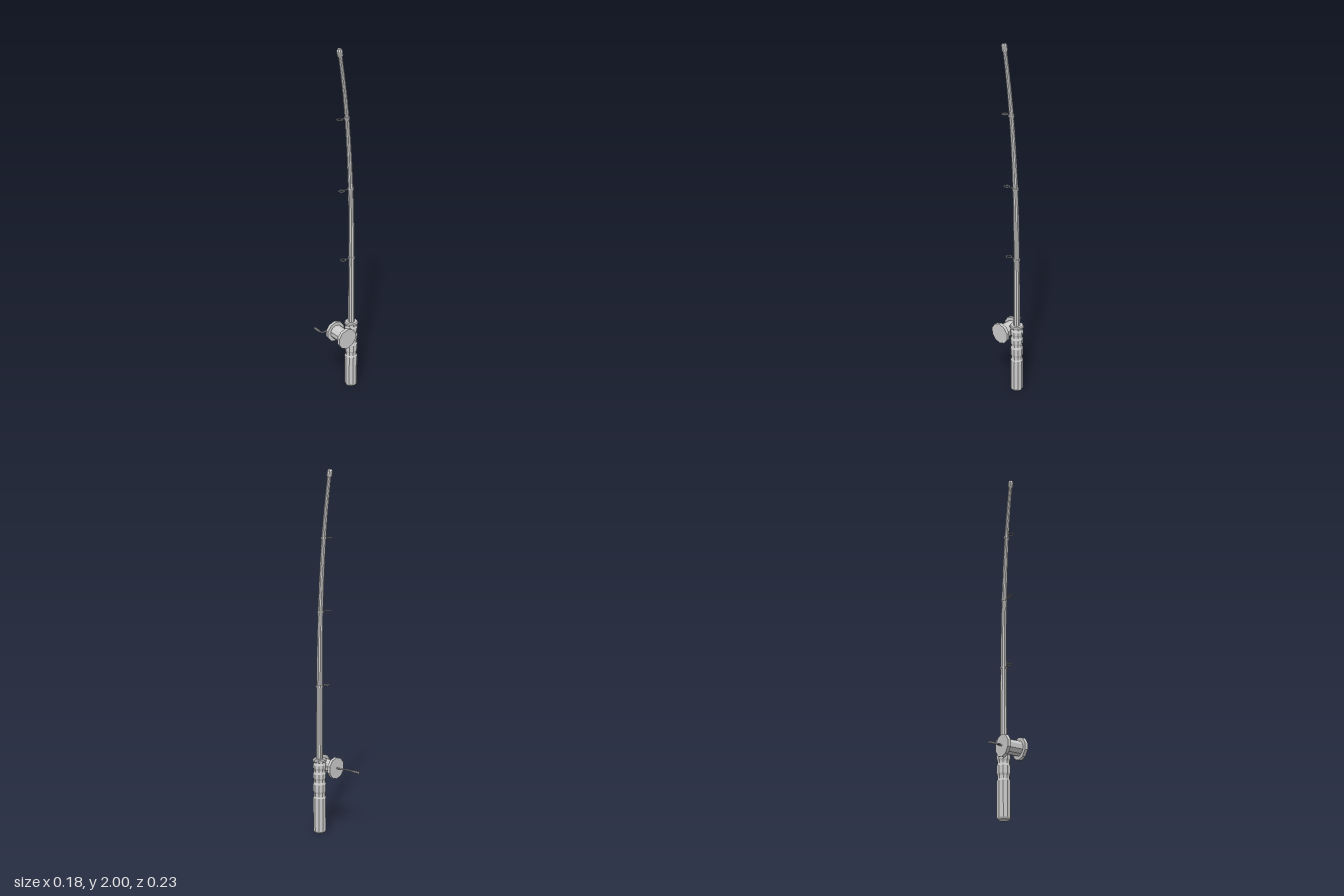
import * as THREE from 'three';

const SIDES = 10;
const material = new THREE.MeshStandardMaterial({ color: 0xcccccc, flatShading: true });
const V = (x, y, z) => new THREE.Vector3(x, y, z);

function part(name, geometry, x = 0, y = 0, z = 0) {
  const mesh = new THREE.Mesh(geometry, material);
  mesh.name = name;
  mesh.position.set(x, y, z);
  return mesh;
}

// Lathe with a corner pointing along x, from [radius, y] pairs
function lathe(profile) {
  const points = profile.map(([r, y]) => new THREE.Vector2(r, y));
  return new THREE.LatheGeometry(points, SIDES).rotateY(Math.PI / 2);
}

// Tube whose radius narrows from r0 to r1 along the curve
function taperedTube(curve, segments, r0, r1) {
  const geometry = new THREE.TubeGeometry(curve, segments, 1, SIDES);
  const pos = geometry.attributes.position;
  const v = new THREE.Vector3();
  for (let i = 0; i <= segments; i++) {
    const centre = curve.getPointAt(i / segments);
    const r = THREE.MathUtils.lerp(r0, r1, i / segments);
    for (let j = 0; j <= SIDES; j++) {
      const k = i * (SIDES + 1) + j;
      v.fromBufferAttribute(pos, k).sub(centre).multiplyScalar(r).add(centre);
      pos.setXYZ(k, v.x, v.y, v.z);
    }
  }
  return geometry;
}

export function createModel() {
  const model = new THREE.Group();
  model.name = 'fishingRod';
  const HX = 0.048, HZ = 0.054; // handle axis

  // Handle: long grip, ribbed upper grip and end collar
  const profile = [[0, 0], [0.031, 0], [0.037, 0.01], [0.037, 0.2], [0.033, 0.208], [0.033, 0.226]];
  for (const [a, b] of [[0.226, 0.29], [0.302, 0.35], [0.36, 0.4]]) {
    profile.push([0.033, a], [0.037, a + 0.012], [0.037, b - 0.012], [0.033, b]);
  }
  profile.push([0.033, 0.404], [0.04, 0.408], [0.04, 0.418], [0.035, 0.424], [0, 0.424]);
  model.add(part('handle', lathe(profile), HX, 0, HZ));

  // Bent, tapering blank
  const blankCurve = new THREE.CatmullRomCurve3([
    V(0.048, 0.4, HZ), V(0.047, 0.83, HZ), V(0.038, 1.24, HZ),
    V(0.011, 1.635, HZ), V(-0.014, 1.84, HZ), V(-0.036, 1.98, HZ),
  ]);
  model.add(part('blank', taperedTube(blankCurve, 14, 0.02, 0.011)));

  // Tip cap
  const tip = part('tipCap', lathe([
    [0.011, -0.022], [0.016, -0.014], [0.016, 0.01], [0.011, 0.021], [0, 0.021],
  ]), -0.036, 1.978, HZ);
  tip.rotation.z = 0.155;
  model.add(tip);

  // Line guides: collar, short stem and flat ring
  for (const [y, x, collarR, ringX] of [
    [0.83, 0.047, 0.021, -0.012], [1.24, 0.038, 0.019, -0.024], [1.635, 0.011, 0.017, -0.037],
  ]) {
    const guide = new THREE.Group();
    guide.name = 'lineGuide';
    guide.position.set(0, y, HZ);
    guide.add(part('guideCollar', new THREE.CylinderGeometry(collarR, collarR, 0.012, SIDES), x));
    const ring = new THREE.TorusGeometry(0.015, 0.003, 6, 12).rotateX(Math.PI / 2);
    guide.add(part('guideRing', ring, ringX));
    const start = ringX + 0.014;
    const stem = new THREE.CylinderGeometry(0.003, 0.003, x - start, 6).rotateZ(Math.PI / 2);
    guide.add(part('guideStem', stem, (x + start) / 2));
    model.add(guide);
  }

  // Reel: spool core between two flanges
  const reel = new THREE.Group();
  reel.name = 'reel';
  reel.position.set(-0.028, 0.362, 0.055);
  const drum = (r, depth) => new THREE.CylinderGeometry(r, r, depth, SIDES).rotateX(Math.PI / 2);
  reel.add(part('spool', drum(0.041, 0.1)));
  for (const side of [-1, 1]) reel.add(part('spoolFlange', drum(0.061, 0.018), 0, 0, side * 0.052));
  model.add(reel);

  // Crank arm with its knob
  const crankCurve = new THREE.CatmullRomCurve3([
    V(-0.028, 0.362, 0), V(-0.028, 0.362, -0.022), V(-0.036, 0.36, -0.036),
    V(-0.053, 0.356, -0.04), V(-0.072, 0.35, -0.043), V(-0.084, 0.346, -0.057),
    V(-0.085, 0.345, -0.08),
  ]);
  model.add(part('crankArm', new THREE.TubeGeometry(crankCurve, 20, 0.0042, 8)));
  const knob = new THREE.CylinderGeometry(0.0065, 0.0065, 0.043, 8).rotateX(Math.PI / 2);
  model.add(part('crankKnob', knob, -0.085, 0.345, -0.0965));

  return model;
}
